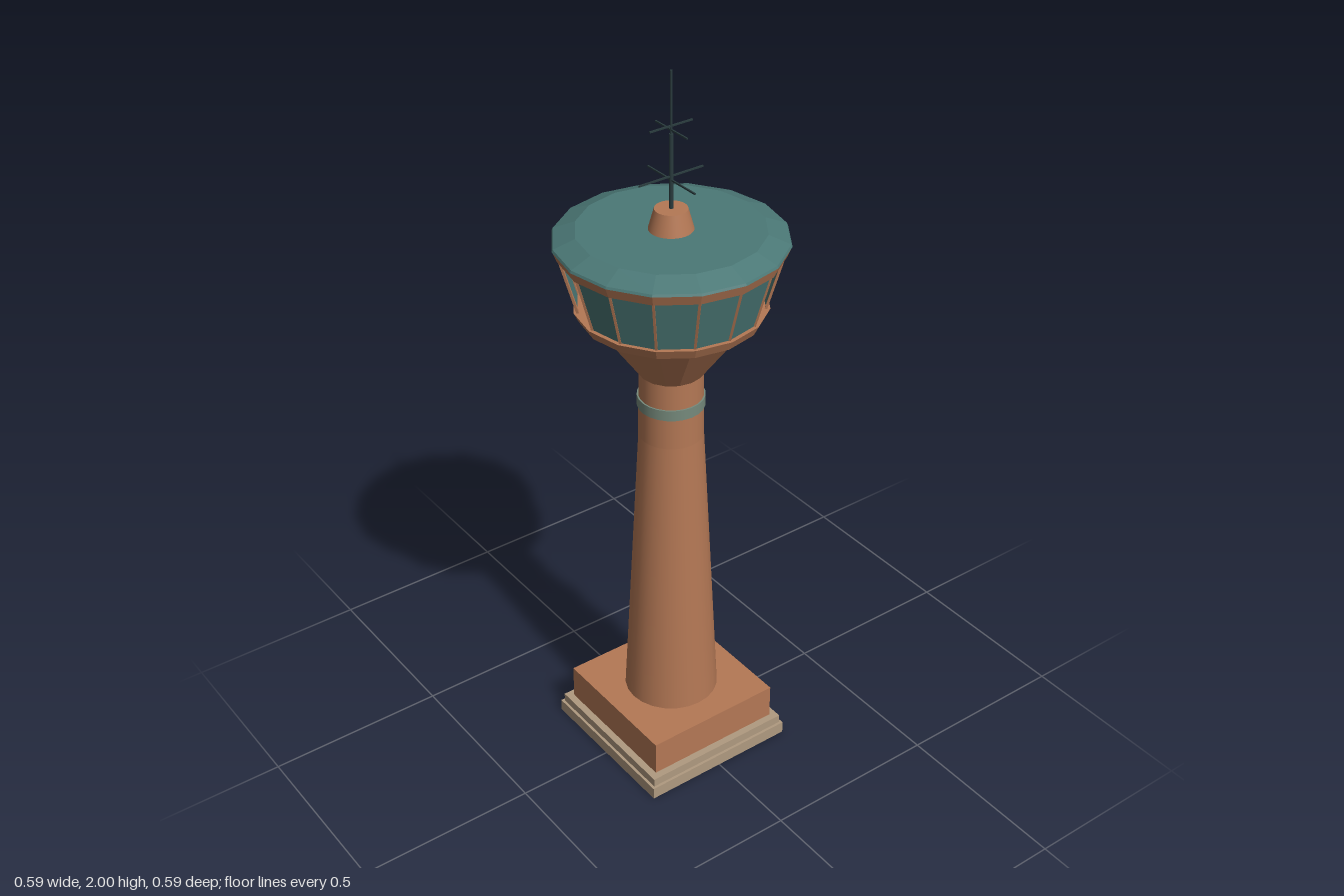
import * as THREE from 'three';

const mat = (name, color, extra = {}) => {
  const m = new THREE.MeshStandardMaterial({ color, ...extra });
  m.name = name;
  return m;
};

export function createModel() {
  const model = new THREE.Group();
  model.name = 'controlTower';
  const brick = mat('terracotta', 0xb47855, { flatShading: true });
  const brickSmooth = brick.clone();
  brickSmooth.flatShading = false;
  const stone = mat('stone', 0xb09a80);
  const teal = mat('teal', 0x4b7876, { flatShading: true, side: THREE.DoubleSide });
  const band = mat('greyGreen', 0x768a7c);
  const dark = mat('darkMetal', 0x2a3c3e);

  const add = (name, geo, material, x = 0, y = 0, z = 0, parent = model) => {
    const m = new THREE.Mesh(geo, material);
    m.name = name;
    m.position.set(x, y, z);
    parent.add(m);
    return m;
  };
  const box = (name, w, h, d, material, x, y, z, parent) =>
    add(name, new THREE.BoxGeometry(w, h, d), material, x, y, z, parent);
  // Tapered round part between two heights
  const taper = (name, r0, y0, r1, y1, sides, material, open = false) =>
    add(name, new THREE.CylinderGeometry(r1, r0, y1 - y0, sides, 1, open), material, 0, (y0 + y1) / 2, 0);
  const lathe = (name, pts, sides, material) =>
    add(name, new THREE.LatheGeometry(pts.map(p => new THREE.Vector2(...p)), sides), material);

  // Stepped base
  box('lowerPlinth', 0.455, 0.035, 0.455, stone, 0, 0.0175, 0);
  box('upperPlinth', 0.44, 0.025, 0.44, stone, 0, 0.0475, 0);
  box('baseBlock', 0.4, 0.1, 0.4, brick, 0, 0.11, 0);

  // Arched doorway trim on the back of the base
  const door = new THREE.Group();
  door.name = 'doorway';
  model.add(door);
  add('doorArch', new THREE.TorusGeometry(0.038, 0.003, 6, 16, Math.PI), stone, 0, 0.106, -0.2, door);
  for (const s of [-1, 1]) box('doorJamb', 0.006, 0.046, 0.006, stone, s * 0.038, 0.083, -0.2, door);

  // Shaft
  taper('shaft', 0.13, 0.16, 0.086, 1.0, 24, brickSmooth);
  taper('shaftNeck', 0.086, 1.0, 0.084, 1.19, 24, brickSmooth);
  taper('shaftBand', 0.089, 1.088, 0.089, 1.118, 24, band);

  // Slit windows up the back
  for (let i = 0; i < 4; i++) {
    const y = 0.325 + i * 0.235;
    const r = 0.13 - (0.044 * (Math.min(y, 1) - 0.16)) / 0.84;
    const slit = new THREE.Group();
    slit.name = 'slitWindow';
    slit.position.set(0, y, -r);
    model.add(slit);
    box('slitPane', 0.018, 0.044, 0.014, teal, 0, 0, 0, slit);
    for (const s of [-1, 1]) box('slitFrame', 0.004, 0.05, 0.018, dark, s * 0.011, 0, 0, slit);
  }

  // Flared support and cabin deck
  taper('flare', 0.086, 1.19, 0.2, 1.35, 16, brick);
  taper('deckSoffit', 0.2, 1.35, 0.234, 1.36, 16, stone);
  taper('deckRing', 0.235, 1.36, 0.248, 1.387, 16, brick);

  // Sloping window band: panes between mullions, four bays left open
  const N = 16, r0 = 0.237, y0 = 1.387, r1 = 0.279, y1 = 1.537;
  const at = (r, y, a) => new THREE.Vector3(r * Math.sin(a), y, r * Math.cos(a));
  const openBays = [5, 7, 12, 15];
  const cabin = new THREE.Group();
  cabin.name = 'cabinWindows';
  model.add(cabin);
  for (let i = 0; i < N; i++) {
    const a = (i * 2 * Math.PI) / N, b = ((i + 1) * 2 * Math.PI) / N;
    if (!openBays.includes(i)) {
      const g = new THREE.BufferGeometry().setFromPoints([at(r0, y0, a), at(r0, y0, b), at(r1, y1, b), at(r1, y1, a)]);
      g.setIndex([0, 1, 2, 0, 2, 3]);
      g.computeVertexNormals();
      add('windowPane', g, teal, 0, 0, 0, cabin);
    }
    const path = new THREE.LineCurve3(at(r0, y0, a), at(r1, y1, a));
    add('mullion', new THREE.TubeGeometry(path, 1, 0.0045, 4), brick, 0, 0, 0, cabin);
  }

  // Roof with its rim
  lathe('roofRim', [[0.268, 1.562], [0.268, 1.535], [0.285, 1.535], [0.296, 1.563]], N, brick);
  lathe('roof', [[0.297, 1.563], [0.294, 1.569], [0.238, 1.591], [0, 1.591]], N, teal);
  taper('roofCap', 0.06, 1.58, 0.042, 1.645, 32, brickSmooth);

  // Mast with crossed aerials
  taper('lowerMast', 0.0055, 1.64, 0.0055, 1.84, 8, dark);
  taper('upperMast', 0.003, 1.84, 0.003, 2.0, 8, dark);
  for (const [y, len] of [[1.72, 0.19], [1.85, 0.125]]) {
    box('aerialAcross', len, 0.004, 0.004, dark, 0, y, 0);
    box('aerialAlong', 0.004, 0.004, len, dark, 0, y + 0.01, 0);
  }
  return model;
}
